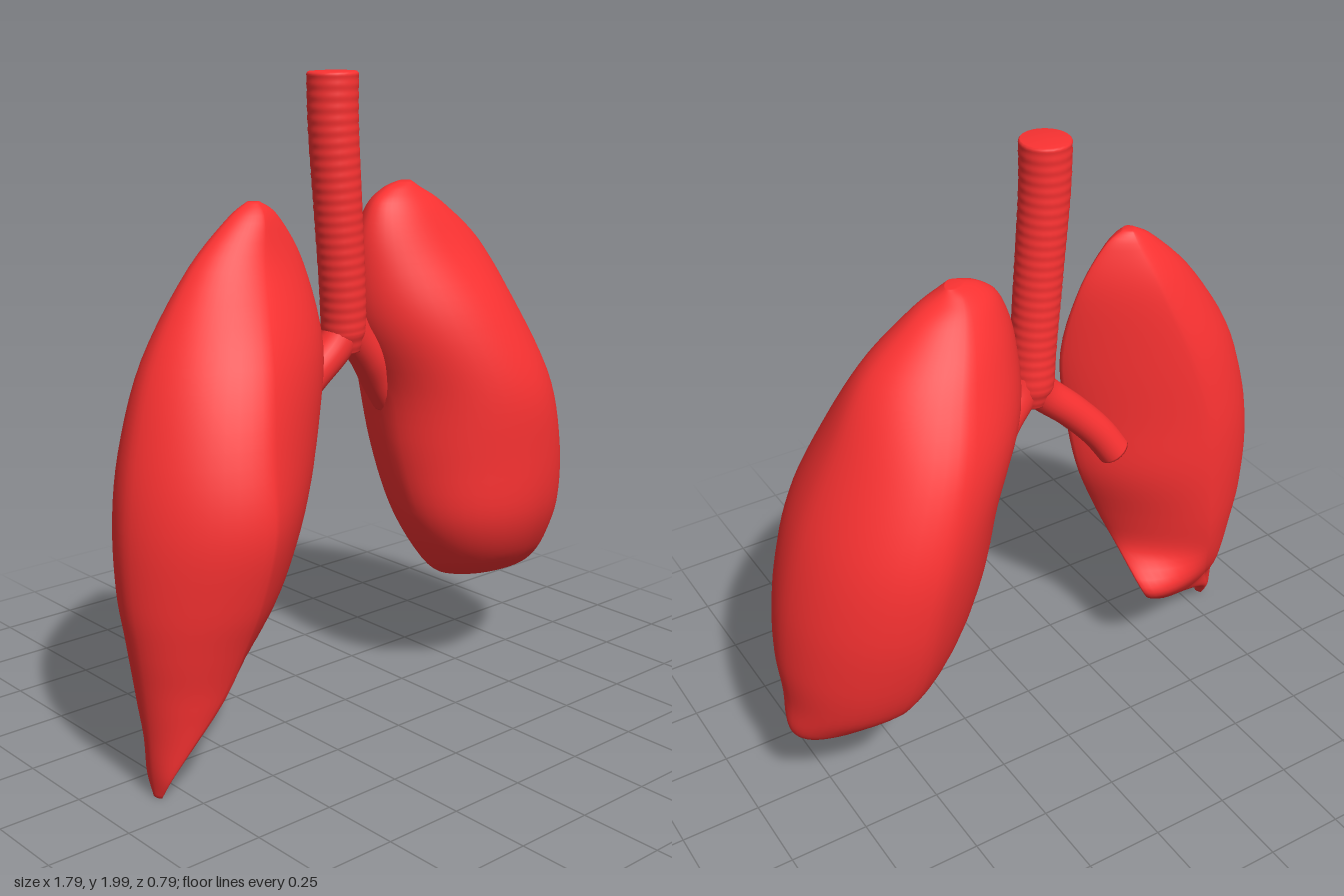
import * as THREE from 'three';
import { mergeVertices } from 'three/addons/utils/BufferGeometryUtils.js';

const red = new THREE.MeshStandardMaterial({ color: 0xfa3232 });

function addMesh(group, name, geometry) {
  const mesh = new THREE.Mesh(geometry, red);
  mesh.name = name;
  group.add(mesh);
}

// Catmull-Rom blend of whole rows of numbers
function sampleRows(rows, t) {
  const f = t * (rows.length - 1);
  const i = Math.min(Math.floor(f), rows.length - 2);
  const u = f - i;
  const at = (k) => rows[Math.max(0, Math.min(rows.length - 1, k))];
  return rows[i].map((_, c) => {
    const [a, b, d, e] = [at(i - 1)[c], at(i)[c], at(i + 1)[c], at(i + 2)[c]];
    return b + 0.5 * u * (d - a + u * (2 * a - 5 * b + 4 * d - e + u * (3 * (b - d) + e - a)));
  });
}

// Lung lofted from horizontal sections, listed from the top down:
// [y, xMin, z at xMin, xMax, z at xMax, x of widest part, zFront, zBack]
// powMin and powMax set how full the section is towards each end in x.
function lungGeometry(rows, powMin, powMax) {
  const rings = 56, sides = 48, pos = [], index = [];
  for (let i = 0; i <= rings; i++) {
    const [y, xMin, zMin, xMax, zMax, xMid, zF, zB] = sampleRows(rows, i / rings);
    const zc = (zF + zB) / 2;
    for (let j = 0; j < sides; j++) {
      const a = (j / sides) * Math.PI * 2;
      const c = Math.cos(a), s = Math.sin(a);
      const p = 2 / (c > 0 ? powMax : powMin);
      const f = Math.abs(c) ** p, g = Math.abs(s) ** p;
      const x = xMid + f * ((c > 0 ? xMax : xMin) - xMid);
      const z = zc + f * ((c > 0 ? zMax : zMin) - zc) + g * ((s > 0 ? zF : zB) - zc);
      pos.push(x, y, z);
    }
  }
  for (let i = 0; i < rings; i++) {
    for (let j = 0; j < sides; j++) {
      const k = (j + 1) % sides;
      const a = i * sides + j, b = i * sides + k;
      index.push(a, b, a + sides, b, b + sides, a + sides);
    }
  }
  // Close both ends
  [0, rings].forEach((i) => {
    const [y, , , , , x, zF, zB] = rows[i ? rows.length - 1 : 0];
    const centre = pos.length / 3;
    pos.push(x, y, (zF + zB) / 2);
    for (let j = 0; j < sides; j++) {
      const a = i * sides + j, b = i * sides + ((j + 1) % sides);
      index.push(...(i ? [centre, a, b] : [centre, b, a]));
    }
  });
  const geo = new THREE.BufferGeometry();
  geo.setAttribute('position', new THREE.Float32BufferAttribute(pos, 3));
  geo.setIndex(index);
  geo.computeVertexNormals();
  return geo;
}

// Airway: a tube whose radius follows a rule along its length, closed at both ends
function airwayGeometry(points, segments, radius) {
  const curve = new THREE.CatmullRomCurve3(points.map((p) => new THREE.Vector3(...p)));
  const sides = 24;
  let geo = new THREE.TubeGeometry(curve, segments, 1, sides, false);
  const pos = geo.attributes.position, v = new THREE.Vector3();
  for (let i = 0; i <= segments; i++) {
    const centre = curve.getPointAt(i / segments);
    const r = i === 0 || i === segments ? 0 : radius(i / segments);
    for (let j = 0; j <= sides; j++) {
      const n = i * (sides + 1) + j;
      v.fromBufferAttribute(pos, n).sub(centre).multiplyScalar(r).add(centre);
      pos.setXYZ(n, v.x, v.y, v.z);
    }
  }
  geo.deleteAttribute('normal');
  geo.deleteAttribute('uv');
  geo = mergeVertices(geo, 1e-5);
  geo.computeVertexNormals();
  return geo;
}

export function createModel() {
  const group = new THREE.Group();

  // Left lung: broad, with a blunt base
  addMesh(group, 'leftLung', lungGeometry([
    [1.655, 0.22, 0.0, 0.28, -0.02, 0.25, 0.02, -0.03],
    [1.635, 0.16, 0.0, 0.31, -0.02, 0.25, 0.04, -0.07],
    [1.58, 0.10, 0.0, 0.41, -0.03, 0.27, 0.08, -0.13],
    [1.45, 0.06, 0.0, 0.565, -0.04, 0.33, 0.14, -0.23],
    [1.25, 0.06, 0.0, 0.685, -0.05, 0.41, 0.245, -0.335],
    [1.02, 0.14, 0.02, 0.80, -0.05, 0.50, 0.32, -0.39],
    [0.80, 0.165, 0.05, 0.865, -0.05, 0.55, 0.325, -0.385],
    [0.60, 0.205, 0.09, 0.89, -0.05, 0.57, 0.305, -0.345],
    [0.45, 0.29, 0.08, 0.885, -0.06, 0.60, 0.235, -0.285],
    [0.36, 0.39, 0.03, 0.89, -0.06, 0.66, 0.14, -0.2],
    [0.315, 0.56, -0.03, 0.875, -0.06, 0.74, 0.05, -0.14],
    [0.295, 0.74, -0.06, 0.84, -0.06, 0.79, -0.01, -0.1],
  ], 1.75, 1.8));

  // Right lung: slimmer, tapering to a low outer tip
  addMesh(group, 'rightLung', lungGeometry([
    [1.645, -0.39, 0.03, -0.35, 0.03, -0.37, 0.05, 0.01],
    [1.60, -0.46, 0.03, -0.29, 0.04, -0.38, 0.09, -0.02],
    [1.46, -0.60, 0.03, -0.215, 0.06, -0.43, 0.145, -0.08],
    [1.23, -0.76, 0.06, -0.18, 0.1, -0.52, 0.285, -0.13],
    [1.0, -0.85, 0.09, -0.205, 0.1, -0.58, 0.365, -0.155],
    [0.80, -0.89, 0.11, -0.24, 0.08, -0.60, 0.4, -0.16],
    [0.60, -0.895, 0.12, -0.32, 0.08, -0.62, 0.36, -0.15],
    [0.46, -0.88, 0.13, -0.375, 0.04, -0.64, 0.31, -0.13],
    [0.35, -0.865, 0.13, -0.39, -0.09, -0.66, 0.275, -0.1],
    [0.27, -0.855, 0.13, -0.45, -0.07, -0.70, 0.255, -0.05],
    [0.18, -0.845, 0.13, -0.60, 0.0, -0.76, 0.23, 0.03],
    [0.08, -0.838, 0.13, -0.77, 0.09, -0.81, 0.19, 0.07],
    [0.01, -0.83, 0.13, -0.81, 0.13, -0.82, 0.15, 0.11],
  ], 1.75, 1.35));

  // Windpipe with faint rings
  addMesh(group, 'windpipe', airwayGeometry([
    [-0.075, 2.0, 0.03], [-0.073, 1.85, 0.03], [-0.055, 1.6, 0.03],
    [-0.033, 1.35, 0.025], [-0.025, 1.24, 0.02], [-0.02, 1.16, 0.02],
  ], 200, (t) => {
    const taper = 0.076 - 0.008 * t - 0.02 * Math.max(0, (t - 0.92) / 0.08);
    return (taper + 0.0007 * Math.sin(t * Math.PI * 52)) * Math.min(1, 0.88 + t * 10);
  }));

  // Main bronchi, widest where they leave the windpipe
  addMesh(group, 'rightBronchus', airwayGeometry([
    [-0.015, 1.25, 0.02], [-0.06, 1.185, 0.02], [-0.16, 1.09, 0.01], [-0.25, 0.99, -0.005], [-0.31, 0.9, -0.02],
  ], 70, (t) => 0.053 + 0.008 * (1 - t) ** 4));
  addMesh(group, 'leftBronchus', airwayGeometry([
    [-0.025, 1.28, 0.02], [0.015, 1.21, 0.02], [0.08, 1.13, 0.01], [0.14, 1.05, -0.01], [0.2, 0.97, -0.02],
  ], 70, (t) => 0.053 + 0.008 * (1 - t) ** 4));

  return group;
}
